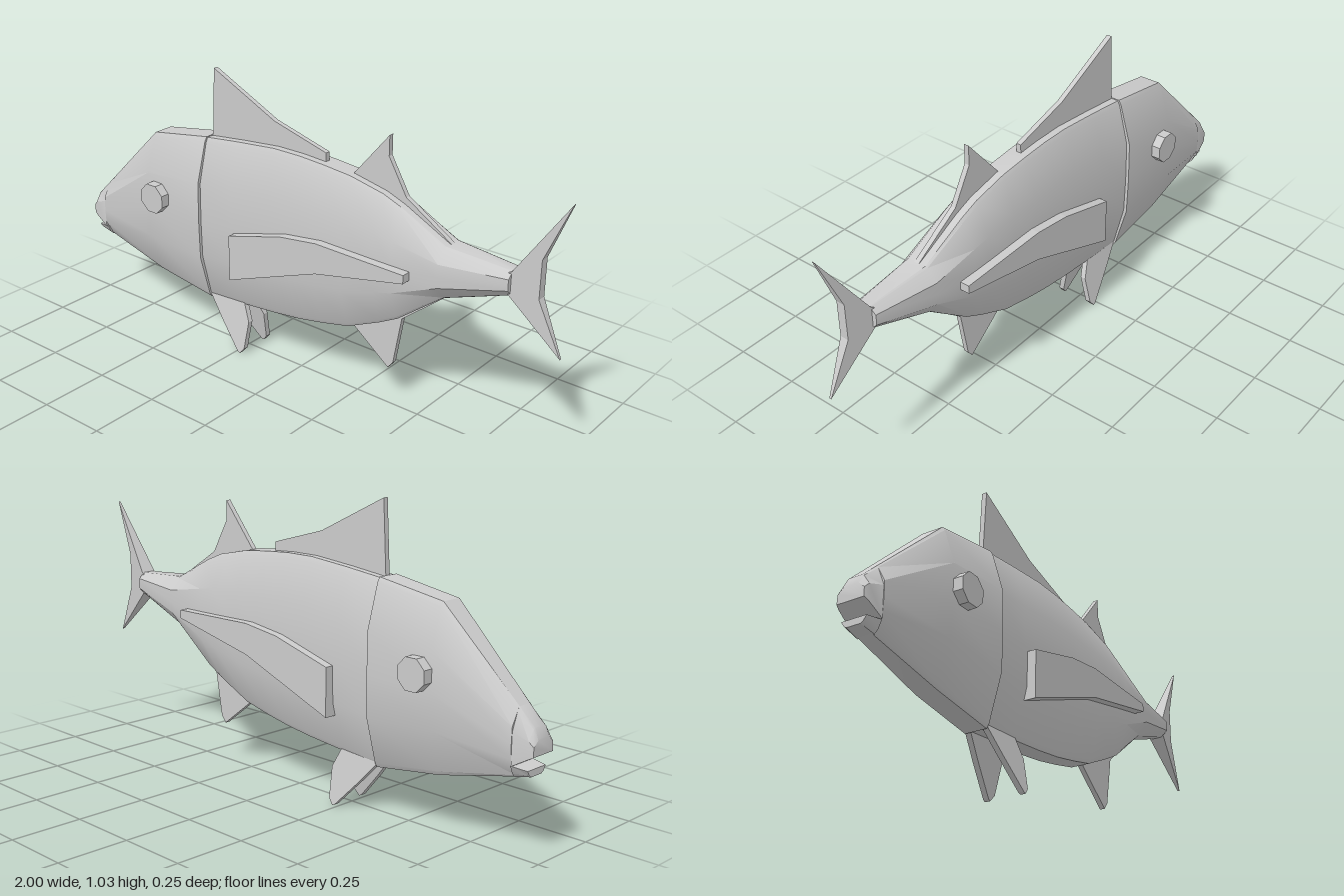
import * as THREE from 'three';
import { toCreasedNormals } from 'three/addons/utils/BufferGeometryUtils.js';

const material = new THREE.MeshStandardMaterial({ color: 0xcccccc });

// Half cross-sections, bottom to top: [fraction of height, fraction of half width]
const FULL = [[0, 0.42], [0.025, 0.52], [0.28, 0.97], [0.5, 1], [0.74, 0.97], [0.975, 0.52], [1, 0.42]];
const UPPER_LIP = [[0, 0.97], [0.6, 0.95], [0.95, 0.55], [1, 0.42]];
const LOWER_LIP = [[0, 0.5], [0.3, 0.7], [1, 0.9]];

// Lofts mirrored cross-sections along x; stations are [x, bottom, top, half width]
function loft(profile, stations) {
  const n = profile.length * 2;
  const pos = [];
  const index = [];
  for (const [x, bottom, top, w] of stations) {
    const side = profile.map(([v, h]) => [x, bottom + v * (top - bottom), h * w]);
    const mirrored = side.map(([px, y, z]) => [px, y, -z]).reverse();
    pos.push(...side.flat(), ...mirrored.flat());
  }
  const last = (stations.length - 1) * n;
  for (let i = 0; i < last; i += n) {
    for (let j = 0; j < n; j++) {
      const k = (j + 1) % n;
      index.push(i + j, i + n + j, i + k, i + k, i + n + j, i + n + k);
    }
  }
  for (let j = 1; j < n - 1; j++) index.push(0, j, j + 1, last, last + j + 1, last + j);
  const geo = new THREE.BufferGeometry();
  geo.setAttribute('position', new THREE.Float32BufferAttribute(pos, 3));
  geo.setIndex(index);
  return toCreasedNormals(geo, 0.5);
}

// Flat fin cut from an outline; zRule may bend or taper it
function fin(points, thickness, zRule) {
  const shape = new THREE.Shape(points.map(([x, y]) => new THREE.Vector2(x, y)));
  const geo = new THREE.ExtrudeGeometry(shape, { depth: thickness, bevelEnabled: false });
  geo.translate(0, 0, -thickness / 2);
  const p = geo.attributes.position;
  if (zRule) for (let i = 0; i < p.count; i++) p.setZ(i, zRule(p.getX(i), p.getY(i), p.getZ(i)));
  geo.computeVertexNormals();
  return geo;
}

export function createModel() {
  const fish = new THREE.Group();
  fish.name = 'fish';
  const add = (name, geo) => {
    const mesh = new THREE.Mesh(geo, material);
    mesh.name = name;
    fish.add(mesh);
    return mesh;
  };

  // Head with an open mouth
  add('head', loft(FULL, [
    [-0.93, 0.262, 0.475, 0.06], [-0.65, 0.2, 0.745, 0.09], [-0.395, 0.165, 0.787, 0.095],
  ]));
  add('upperLip', loft(UPPER_LIP, [
    [-1, 0.34, 0.39, 0.05], [-0.985, 0.332, 0.422, 0.055], [-0.93, 0.3, 0.475, 0.06],
  ]));
  add('lowerLip', loft(LOWER_LIP, [[-0.98, 0.272, 0.294, 0.05], [-0.925, 0.261, 0.3, 0.06]]));

  // Body narrowing to the tail stalk
  add('body', loft(FULL, [
    [-0.4, 0.17, 0.783, 0.083], [-0.25, 0.182, 0.8, 0.083], [-0.09, 0.197, 0.815, 0.083],
    [0.02, 0.211, 0.815, 0.083], [0.12, 0.23, 0.809, 0.083], [0.23, 0.255, 0.799, 0.083],
    [0.36, 0.315, 0.772, 0.083], [0.43, 0.352, 0.745, 0.082], [0.6, 0.483, 0.66, 0.077],
    [0.83, 0.563, 0.645, 0.045],
  ]));

  // Eyes on both sides of the head
  for (const s of [1, -1]) {
    const geo = new THREE.CylinderGeometry(0.057, 0.057, 0.06, 8);
    geo.rotateY(Math.PI / 8).rotateX(Math.PI / 2);
    add(s > 0 ? 'leftEye' : 'rightEye', toCreasedNormals(geo, 0.5)).position.set(-0.6, 0.525, s * 0.094);
  }

  // Forked tail tapering to a thin rear edge
  add('tailFin', fin(
    [[0.82, 0.57], [0.83, 0.56], [1, 0.395], [0.92, 0.575], [0.92, 0.705], [1, 0.9], [0.83, 0.645], [0.82, 0.64]],
    1, (x, y, z) => z * THREE.MathUtils.mapLinear(x, 0.82, 1, 0.06, 0.008)));

  // Fins on the centre line
  add('frontDorsalFin', fin(
    [[-0.395, 0.75], [0.11, 0.78], [0.11, 0.84], [-0.11, 0.9], [-0.38, 1.03]], 0.018));
  add('rearDorsalFin', fin(
    [[0.23, 0.78], [0.58, 0.64], [0.605, 0.66], [0.43, 0.77], [0.36, 0.89], [0.36, 0.96], [0.225, 0.8]], 0.018));
  add('analFin', fin(
    [[0.23, 0.255], [0.38, 0.14], [0.4, 0.165], [0.43, 0.34], [0.605, 0.483], [0.4, 0.36]], 0.018));

  // Paired side and belly fins
  const pectoral = [[-0.235, 0.31], [0.15, 0.455], [0.5, 0.53], [0.5, 0.56], [0.15, 0.565], [0, 0.545], [-0.235, 0.48]];
  const pelvic = [[-0.4, 0.18], [-0.33, 0.1], [-0.24, 0.004], [-0.23, 0], [-0.212, 0.022], [-0.205, 0.125], [-0.24, 0.2]];
  for (const s of [1, -1]) {
    const side = s > 0 ? 'left' : 'right';
    add(side + 'PectoralFin', fin(pectoral, 0.045, (x, y, z) => z + s * 0.091));
    add(side + 'PelvicFin', fin(pelvic, 0.02, (x, y, z) => z + s * (0.03 + (0.18 - y) * 0.2)));
  }
  return fish;
}
